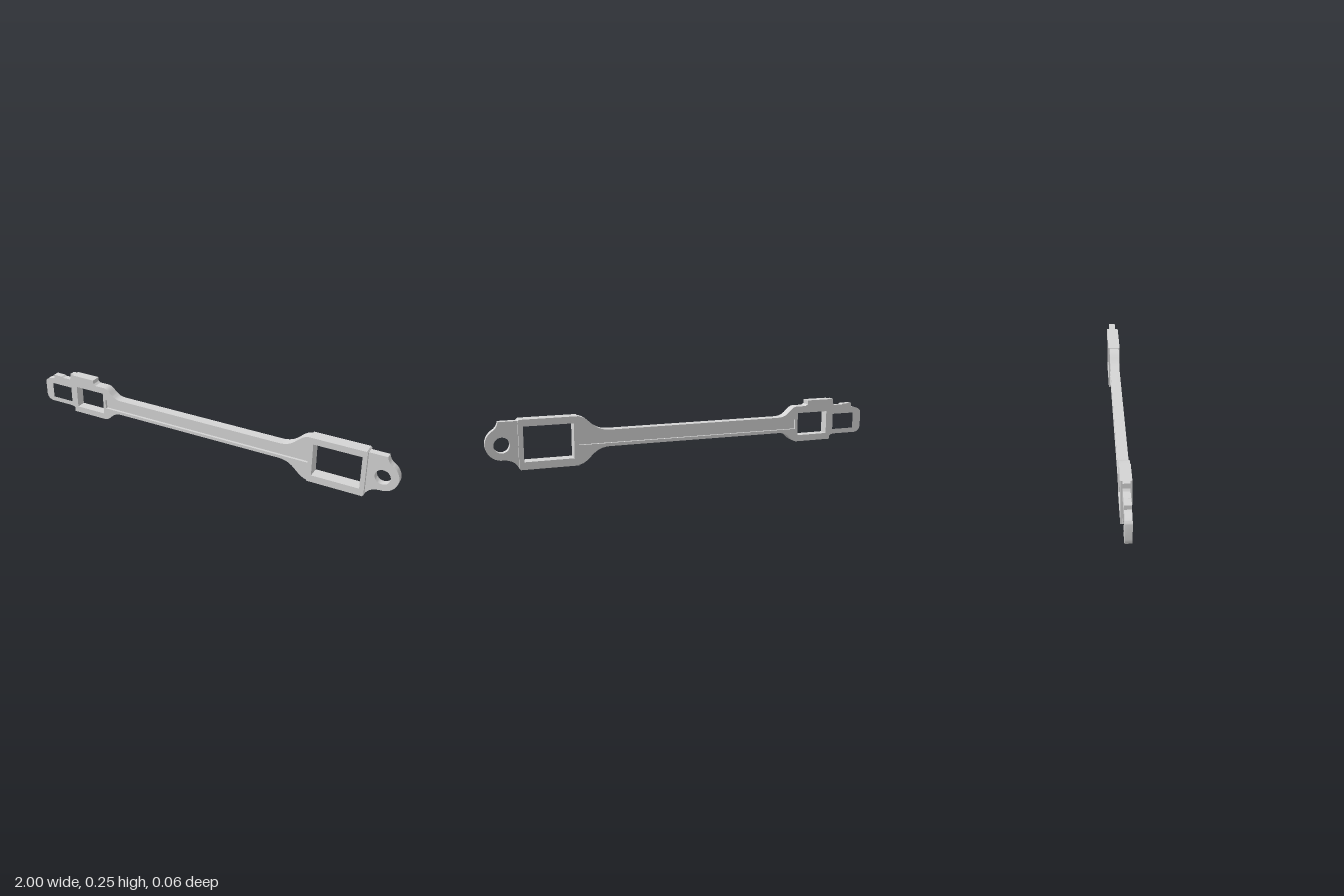
import * as THREE from 'three';
import { toCreasedNormals } from 'three/addons/utils/BufferGeometryUtils.js';

const metal = new THREE.MeshStandardMaterial({ color: 0xd4d4d4 });
metal.name = 'light grey metal';

// Rectangular opening
function rectHole(x0, x1, y0, y1) {
  const p = new THREE.Path();
  p.moveTo(x0, y0).lineTo(x0, y1).lineTo(x1, y1).lineTo(x1, y0).closePath();
  return p;
}

// Plate extruded evenly about z = 0
function plate(name, shape, halfDepth, holes = []) {
  shape.holes.push(...holes);
  const geo = new THREE.ExtrudeGeometry(shape, { depth: halfDepth * 2, bevelEnabled: false, curveSegments: 14 });
  geo.translate(0, 0, -halfDepth);
  const mesh = new THREE.Mesh(toCreasedNormals(geo, 0.5), metal);
  mesh.name = name;
  return mesh;
}

export function createModel() {
  const group = new THREE.Group();
  group.name = 'linkBar';

  // Long arm with its small frame, flared at both ends
  const arm = new THREE.Shape();
  arm.moveTo(-0.807, 0.03);
  arm.lineTo(-0.605, 0.03);
  arm.bezierCurveTo(-0.565, 0.04, -0.565, 0.082, -0.5, 0.082);
  arm.lineTo(0.41, 0.082);
  arm.bezierCurveTo(0.5, 0.078, 0.5, 0.008, 0.565, 0.001);
  arm.lineTo(0.565, 0.239);
  arm.bezierCurveTo(0.5, 0.235, 0.5, 0.168, 0.41, 0.164);
  arm.lineTo(-0.5, 0.164);
  arm.bezierCurveTo(-0.565, 0.164, -0.565, 0.212, -0.605, 0.217);
  arm.lineTo(-0.66, 0.217);
  arm.lineTo(-0.672, 0.225);
  arm.lineTo(-0.672, 0.246);
  arm.lineTo(-0.807, 0.246);
  arm.closePath();
  group.add(plate('arm', arm, 0.025, [
    rectHole(-0.785, -0.615, 0.063, 0.182),
    rectHole(-0.6, 0.56, 0.098, 0.148),
  ]));

  // Thin web at the bottom of both grooves
  const web = new THREE.Shape();
  web.moveTo(-0.603, 0.095).lineTo(0.563, 0.095).lineTo(0.563, 0.151).lineTo(-0.603, 0.151).closePath();
  group.add(plate('grooveWeb', web, 0.012));

  // Thick large frame
  const frame = new THREE.Shape();
  frame.moveTo(0.56, 0).lineTo(0.84, 0).lineTo(0.846, 0.007).lineTo(0.846, 0.235)
    .lineTo(0.84, 0.241).lineTo(0.56, 0.241).closePath();
  group.add(plate('largeFrame', frame, 0.031, [rectHole(0.583, 0.823, 0.037, 0.208)]));

  // Rounded eye tab beside the large frame
  const eye = new THREE.Shape();
  eye.moveTo(0.846, 0.007);
  eye.quadraticCurveTo(0.865, 0.05, 0.922, 0.05);
  eye.absarc(0.922, 0.127, 0.077, -Math.PI / 2, 0.95, false);
  eye.quadraticCurveTo(0.94, 0.205, 0.936, 0.234);
  eye.lineTo(0.846, 0.234);
  eye.closePath();
  const bore = new THREE.Path();
  bore.absarc(0.922, 0.122, 0.038, 0, Math.PI * 2, true);
  group.add(plate('eyeTab', eye, 0.017, [bore]));

  // Thin slotted tab beside the small frame
  const tab = new THREE.Shape();
  tab.moveTo(-0.807, 0.04);
  tab.quadraticCurveTo(-0.82, 0.055, -0.84, 0.055);
  tab.lineTo(-0.965, 0.055);
  tab.quadraticCurveTo(-1, 0.06, -1, 0.095);
  tab.lineTo(-1, 0.165);
  tab.quadraticCurveTo(-0.995, 0.19, -0.94, 0.196);
  tab.lineTo(-0.94, 0.216);
  tab.lineTo(-0.89, 0.216);
  tab.lineTo(-0.88, 0.21);
  tab.lineTo(-0.835, 0.212);
  tab.lineTo(-0.828, 0.222);
  tab.lineTo(-0.828, 0.246);
  tab.lineTo(-0.807, 0.246);
  tab.closePath();
  group.add(plate('slottedTab', tab, 0.016, [rectHole(-0.953, -0.83, 0.08, 0.163)]));

  return group;
}
